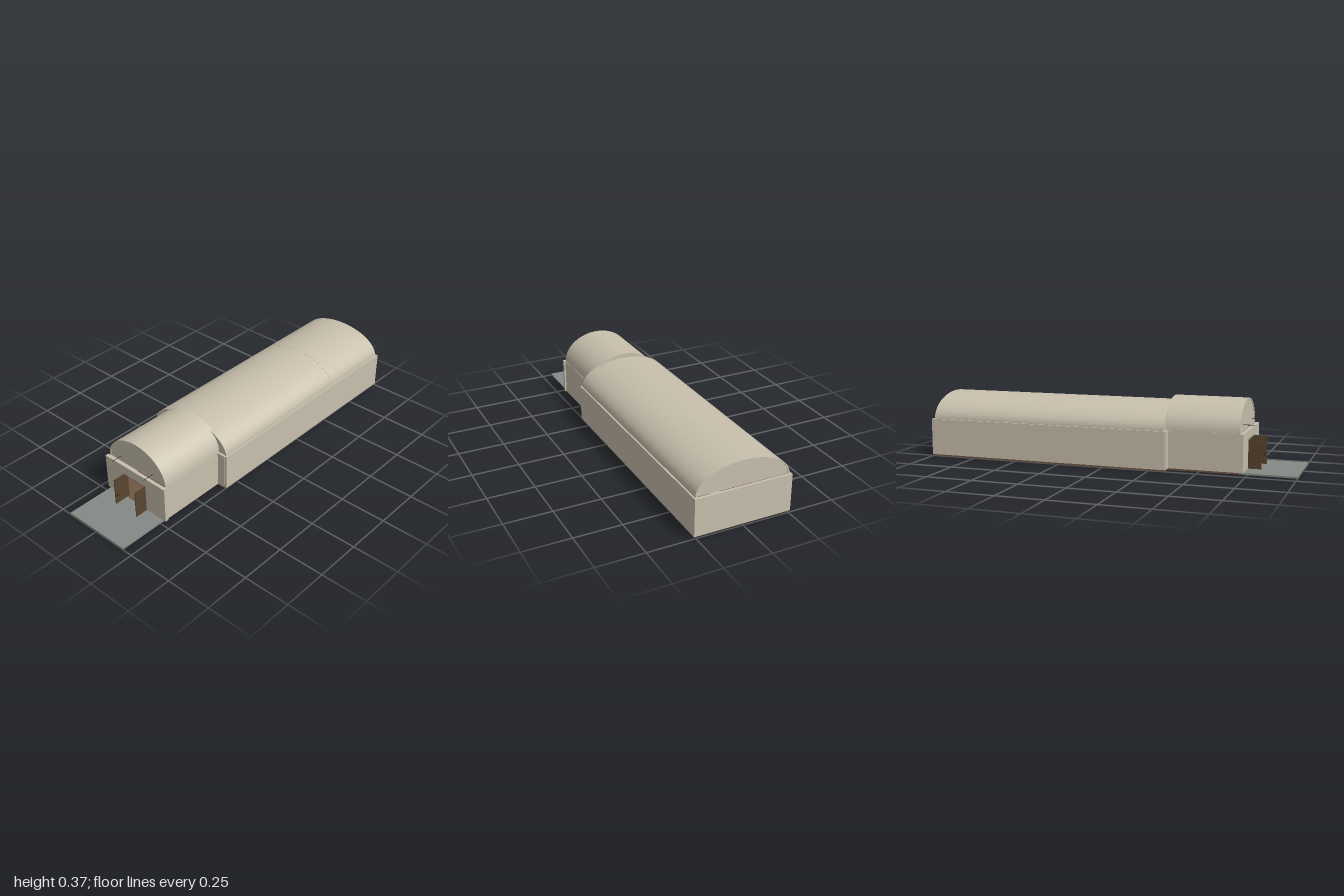
import * as THREE from 'three';
import { toCreasedNormals } from 'three/addons/utils/BufferGeometryUtils.js';

const paint = (name, color) => {
  const m = new THREE.MeshStandardMaterial({ color });
  m.name = name;
  return m;
};

export function createModel() {
  const stone = paint('limestone', 0xc8bfac);
  const slate = paint('grey slab', 0x858a85);
  const earth = paint('brown floor', 0x705746);
  const timber = paint('dark timber', 0x5a4530);
  const iron = paint('dark iron', 0x2e2a26);

  const model = new THREE.Group();
  model.name = 'vaultedHall';

  const add = (name, geometry, material) => {
    const mesh = new THREE.Mesh(geometry, material);
    mesh.name = name;
    model.add(mesh);
    return mesh;
  };
  // Box given by its limits on each axis
  const box = (name, material, [x0, x1], [y0, y1], [z0, z1]) => {
    const mesh = add(name, new THREE.BoxGeometry(x1 - x0, y1 - y0, z1 - z0), material);
    mesh.position.set((x0 + x1) / 2, (y0 + y1) / 2, (z0 + z1) / 2);
    return mesh;
  };
  // The same box on both sides of x = 0
  const pair = (name, material, [x0, x1], y, z) => {
    box(name + 'Left', material, [x0, x1], y, z);
    box(name + 'Right', material, [-x1, -x0], y, z);
  };

  const floorY = 0.01, wallTop = 0.208, wallY = [floorY, wallTop];

  // Half-ellipse section extruded along z; a thickness makes it a hollow shell
  const arch = (name, rx, ry, z0, z1, thickness = 0) => {
    const shape = new THREE.Shape();
    shape.absellipse(0, 0, rx, ry, 0, Math.PI, false);
    if (thickness) {
      shape.lineTo(-rx + thickness, 0);
      shape.absellipse(0, 0, rx - thickness, ry - thickness, Math.PI, 0, true);
    }
    shape.closePath();
    const raw = new THREE.ExtrudeGeometry(shape, {
      depth: z1 - z0, bevelEnabled: false, curveSegments: 40,
    });
    add(name, toCreasedNormals(raw, 0.6), stone).position.set(0, wallTop, z0);
  };

  // Ground slabs
  box('hallFloor', earth, [-0.25, 0.25], [0, floorY], [-0.99, 0.335]);
  box('entranceFloor', earth, [-0.195, 0.195], [0, floorY], [0.335, 0.725]);
  box('porchSlab', slate, [-0.193, 0.193], [0, 0.009], [0.725, 1]);

  // Main hall walls
  pair('hallSideWall', stone, [0.249, 0.259], wallY, [-1, 0.337]);
  box('hallBackWall', stone, [-0.249, 0.249], wallY, [-1, -0.985]);
  pair('crossWall', stone, [0.05, 0.249], wallY, [0.322, 0.34]);
  box('crossWallLintel', stone, [-0.05, 0.05], [0.175, wallTop], [0.322, 0.34]);

  // Entrance hall walls, with a doorway in the front
  pair('entranceSideWall', stone, [0.19, 0.202], wallY, [0.34, 0.712]);
  pair('frontWall', stone, [0.074, 0.21], wallY, [0.712, 0.73]);
  box('frontLintel', stone, [-0.074, 0.074], [0.162, wallTop], [0.712, 0.73]);

  // Barrel vaults and the half-round walls that close them
  arch('entranceVault', 0.2, 0.157, 0.32, 0.71, 0.008);
  arch('hallVault', 0.25, 0.132, -0.55, 0.33, 0.008);
  arch('rearVault', 0.25, 0.132, -0.985, -0.551, 0.008);
  arch('entranceGable', 0.193, 0.15, 0.699, 0.707);
  arch('entranceRearGable', 0.193, 0.15, 0.322, 0.328);
  arch('hallGable', 0.243, 0.125, 0.318, 0.327);
  arch('rearGable', 0.243, 0.125, -0.982, -0.974);

  // Door frame, open door leaves and their handles
  pair('doorJamb', timber, [0.072, 0.076], [floorY, 0.162], [0.71, 0.733]);
  box('doorHead', slate, [-0.078, 0.078], [0.16, 0.165], [0.71, 0.733]);
  pair('doorLeaf', timber, [0.072, 0.077], [floorY, 0.16], [0.733, 0.8]);
  pair('doorHandle', iron, [0.066, 0.072], [0.056, 0.068], [0.788, 0.793]);

  // Rods standing out from the front gable
  for (const side of [-1, 1]) {
    const rod = add(side > 0 ? 'rodLeft' : 'rodRight',
      new THREE.CylinderGeometry(0.0016, 0.0016, 0.064, 8), iron);
    rod.rotation.x = Math.PI / 2;
    rod.position.set(side * 0.112, 0.242, 0.737);
  }

  // Platform, table and low panel at the far end of the hall
  box('platform', stone, [-0.2, 0.2], [floorY, 0.022], [-0.985, -0.75]);
  box('backPanel', slate, [-0.249, 0.249], [0.022, 0.062], [-0.985, -0.978]);
  box('tableBase', stone, [-0.018, 0.018], [floorY, 0.028], [-0.75, -0.7]);
  box('tableTop', stone, [-0.025, 0.025], [0.028, 0.032], [-0.76, -0.69]);

  return model;
}
